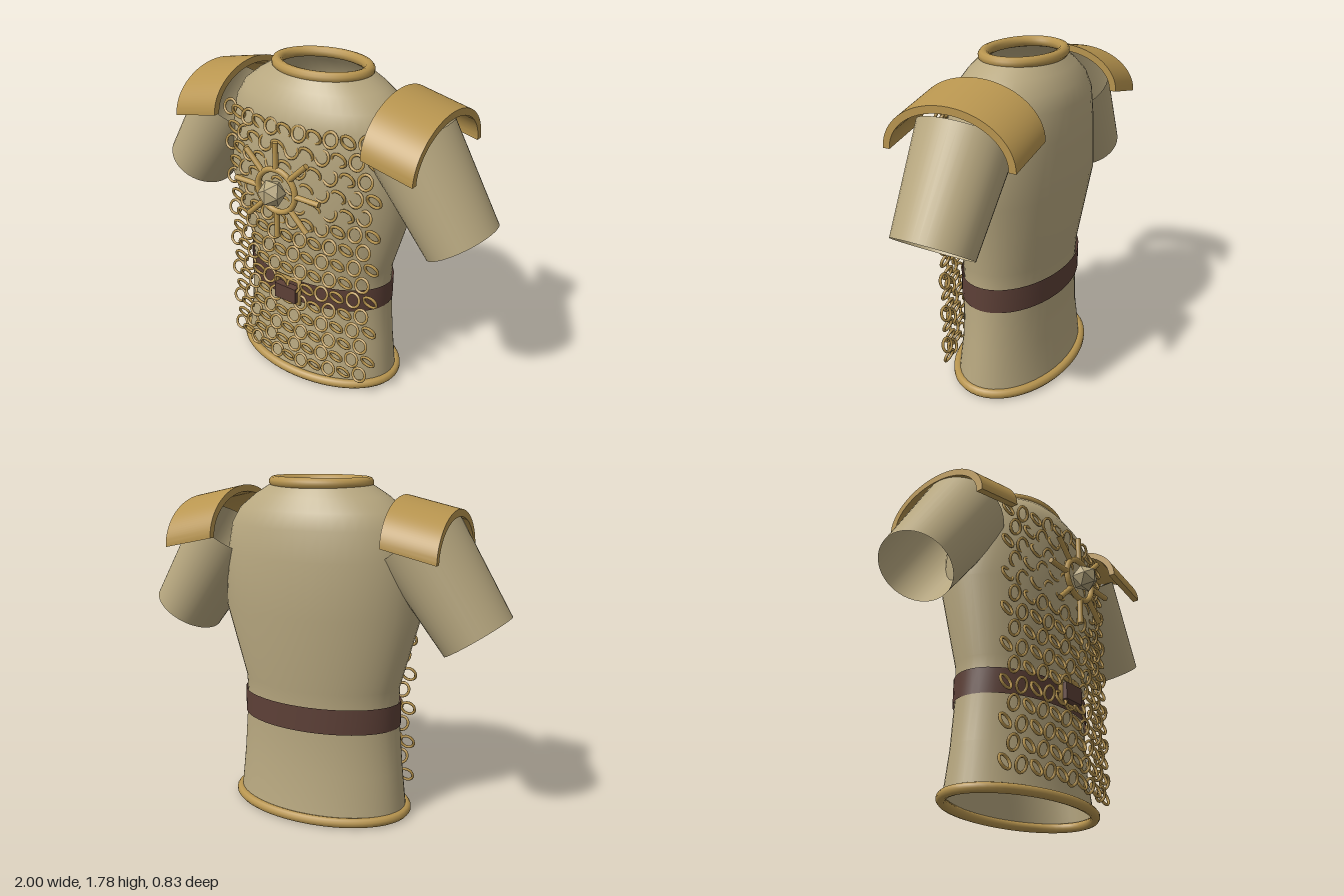
import * as THREE from 'three';
import { toCreasedNormals } from 'three/addons/utils/BufferGeometryUtils.js';

const mat = (name, color, side = THREE.FrontSide) => {
  const m = new THREE.MeshStandardMaterial({ color, side });
  m.name = name;
  return m;
};

export function createModel() {
  const group = new THREE.Group();
  const cloth = mat('tan cloth', 0xb8a880, THREE.DoubleSide);
  const gold = mat('aged gold', 0xb8954f);
  const leather = mat('brown leather', 0x5d4037, THREE.DoubleSide);
  const CZ = -0.067;

  const add = (name, geo, material, x = 0, y = 0, z = 0, parent = group) => {
    const m = new THREE.Mesh(geo, material);
    m.name = name;
    m.position.set(x, y, z);
    parent.add(m);
    return m;
  };

  // Open elliptical loft; rings run from top to bottom as [y, half width, half depth]
  const loft = (rings) => {
    const seg = 48;
    const geo = new THREE.CylinderGeometry(1, 1, 1, seg, rings.length - 1, true);
    const p = geo.attributes.position;
    for (let i = 0; i < p.count; i++) {
      const [y, rx, rz] = rings[Math.floor(i / (seg + 1))];
      p.setXYZ(i, p.getX(i) * rx, y, p.getZ(i) * rz);
    }
    return toCreasedNormals(geo, 0.5);
  };

  // Horizontal elliptical piping of constant thickness
  const hoop = (rx, rz, tube) => {
    const pts = [];
    for (let i = 0; i < 32; i++) {
      const a = (i / 32) * Math.PI * 2;
      pts.push(new THREE.Vector3(Math.cos(a) * rx, 0, Math.sin(a) * rz));
    }
    return new THREE.TubeGeometry(new THREE.CatmullRomCurve3(pts, true), 64, tube, 10, true);
  };

  // Torso shell, open at neck and hem
  add('torso', loft([
    [1.765, 0.25, 0.185], [1.7, 0.36, 0.24], [1.63, 0.45, 0.285], [1.55, 0.5, 0.31],
    [1.4, 0.53, 0.32], [1.12, 0.55, 0.33], [0.72, 0.44, 0.268], [0.6, 0.437, 0.258],
    [0.27, 0.465, 0.26], [0.04, 0.488, 0.292],
  ]), cloth, 0, 0, CZ);
  add('neckTrim', hoop(0.25, 0.183, 0.028), gold, 0, 1.763, -0.073);
  add('hemTrim', hoop(0.49, 0.302, 0.026), gold, 0, 0.035, CZ);

  // Belt and buckle
  add('belt', loft([[0.645, 0.448, 0.275], [0.51, 0.448, 0.275]]), leather, 0, 0, CZ);
  const frame = new THREE.TorusGeometry(0.1, 0.014, 8, 4).rotateZ(Math.PI / 4);
  add('buckleFrame', frame, gold, 0, 0.59, 0.235);
  add('buckle', new THREE.BoxGeometry(0.135, 0.09, 0.04), leather, 0, 0.58, 0.25);

  // Sleeves: flared open tubes hanging outward
  for (const s of [1, -1]) {
    const L = 0.55, a = 0.6;
    const geo = new THREE.CylinderGeometry(0.225, 0.19, L, 40, 1, true);
    geo.scale(1, 1, 1.08).rotateZ(s * a);
    add(s > 0 ? 'leftSleeve' : 'rightSleeve', geo, cloth,
      s * (0.843 - (L / 2) * Math.sin(a)), 1.04 + (L / 2) * Math.cos(a), -0.058);
  }

  // Shoulder guards: arched bands that slope down toward the arm
  const guard = (name, s, r, h, base, z) => {
    const t = 0.036;
    const shape = new THREE.Shape();
    shape.moveTo(r, 0);
    shape.absellipse(0, 0, r, h, 0, Math.PI, false);
    shape.lineTo(-r + t, 0);
    shape.absellipse(0, 0, r - t, h - t, Math.PI, 0, true);
    shape.closePath();
    const geo = new THREE.ExtrudeGeometry(shape, { depth: 0.275, bevelEnabled: false, curveSegments: 32 });
    geo.translate(0, 0, -0.1375).rotateY(Math.PI / 2);
    const p = geo.attributes.position;
    for (let i = 0; i < p.count; i++) p.setY(i, p.getY(i) - s * 0.22 * p.getX(i));
    add(name, toCreasedNormals(geo, 0.6), gold, s * 0.5875, base, z);
  };
  guard('leftShoulderGuard', 1, 0.345, 0.245, 1.46, -0.073);
  guard('rightShoulderGuard', -1, 0.32, 0.225, 1.458, -0.072);

  // Chain mail over the chest: staggered rows of tilted rings
  const mail = new THREE.Group();
  mail.name = 'chainMail';
  group.add(mail);
  const link = new THREE.TorusGeometry(0.038, 0.008, 6, 18);
  for (let row = 0; row < 15; row++) {
    for (let col = 0; col < 11; col++) {
      const x = (col - 5) * 0.0833 + (row % 2) * 0.0417;
      const m = add('mailRing', link, gold, x, 1.52 - row * 0.0983, 0.248 - 0.5 * x * x, mail);
      m.rotation.x = (row + col) % 2 ? 0.32 : -0.32;
    }
  }

  // Sun emblem with a faceted stone
  const emblem = new THREE.Group();
  emblem.name = 'sunEmblem';
  emblem.position.set(0, 1.222, 0.32);
  group.add(emblem);
  add('emblemRing', new THREE.TorusGeometry(0.115, 0.016, 10, 36), gold, 0, 0, 0, emblem);
  for (let i = 0; i < 8; i++) {
    const a = (i / 8) * Math.PI * 2;
    const ray = add('emblemRay', new THREE.CylinderGeometry(0.015, 0.015, 0.14, 10), gold,
      Math.cos(a) * 0.19, Math.sin(a) * 0.19, 0, emblem);
    ray.rotation.z = a - Math.PI / 2;
  }
  // Icosahedron keeps its flat facets by default
  add('emblemStone', new THREE.IcosahedronGeometry(0.072, 0), cloth, 0, 0, 0.035, emblem);

  return group;
}
